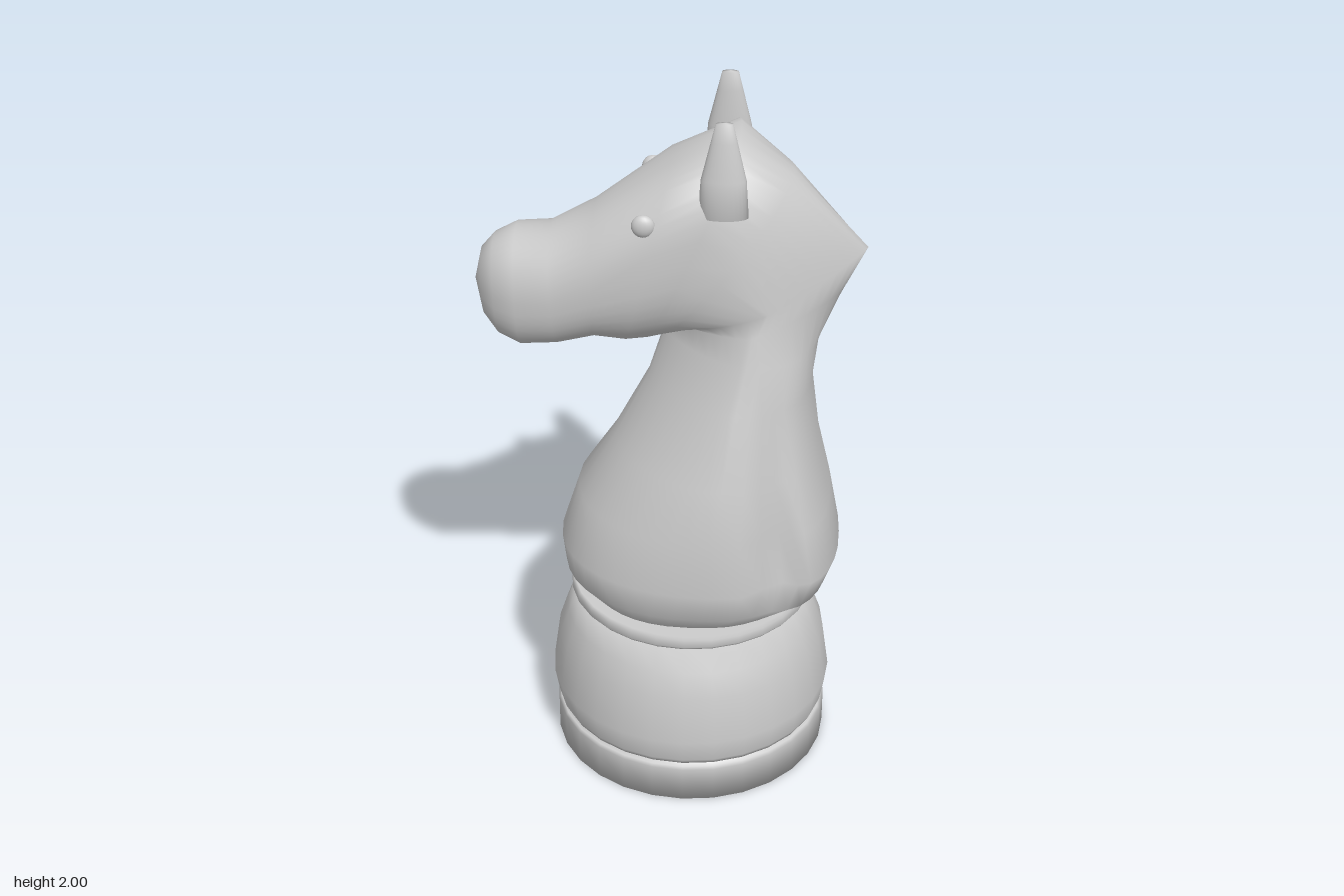
import * as THREE from 'three';

const { clamp, smoothstep } = THREE.MathUtils;
const material = new THREE.MeshStandardMaterial({ color: 0xcccccc });
const AXIS_X = 0.058;

function part(name, geometry, x = 0, y = 0, z = 0) {
  const mesh = new THREE.Mesh(geometry, material);
  mesh.name = name;
  mesh.position.set(x, y, z);
  return mesh;
}

// Level neck sections: height, throat x, back x, half width
const NECK = [
  [0.53, -0.23, 0.35, 0.29],
  [0.60, -0.30, 0.45, 0.35],
  [0.68, -0.31, 0.478, 0.357],
  [0.84, -0.26, 0.447, 0.355],
  [1.00, -0.16, 0.41, 0.325],
  [1.20, -0.06, 0.385, 0.262],
  [1.33, -0.02, 0.40, 0.23],
];

// Head sections fanning from throat to nose: lower x, y; upper x, y; half width
const HEAD = [
  [-0.01, 1.37, 0.46, 1.455, 0.22],
  [-0.015, 1.365, 0.52, 1.58, 0.212],
  [-0.04, 1.34, 0.32, 1.80, 0.22],
  [-0.07, 1.325, 0.18, 1.91, 0.22],
  [-0.12, 1.325, 0.00, 1.835, 0.208],
  [-0.20, 1.335, -0.20, 1.70, 0.168],
  [-0.30, 1.305, -0.32, 1.635, 0.145],
  [-0.40, 1.295, -0.41, 1.63, 0.135],
  [-0.46, 1.32, -0.47, 1.60, 0.105],
  [-0.50, 1.37, -0.505, 1.56, 0.065],
  [-0.525, 1.47, -0.525, 1.47, 0],
];

// Ring between a lower and an upper point, with its own roundness at each end
// and an optional groove on both flanks
function ring(segments, { from, to, half, nFrom, nTo, shift, groove, z }) {
  const points = [];
  for (let j = 0; j < segments; j++) {
    const angle = (j / segments) * Math.PI * 2;
    const c = Math.cos(angle), s = Math.sin(angle);
    const power = 2 / (c > 0 ? nTo : nFrom);
    const t = (1 + Math.sign(c) * Math.abs(c) ** power) / 2 + shift * s * s;
    const dip = 1 - groove * Math.exp(-(((t - 0.79) / 0.08) ** 2));
    const w = Math.sign(s) * Math.abs(s) ** power * dip;
    points.push(from[0] + (to[0] - from[0]) * t, from[1] + (to[1] - from[1]) * t, z + half * w);
  }
  return points;
}

// One skin that climbs the neck, turns around the throat and runs out to the nose
function neckAndHeadGeometry(segments = 40) {
  const neckRings = NECK.map(([y, front, back, half]) => ring(segments, {
    from: [front, y], to: [back, y], half, z: 0,
    nFrom: 2.3 - 0.9 * smoothstep(y, 0.6, 1.33),
    nTo: 2.5 - 0.4 * smoothstep(y, 0.8, 1.33),
    shift: 0.05 * smoothstep(y, 0.5, 0.65),
    groove: 0.2 * smoothstep(y, 0.52, 0.7) * (1 - smoothstep(y, 0.8, 1.3)),
  }));
  const headRings = HEAD.map(([x0, y0, x1, y1, half], i) => ring(segments, {
    from: [x0, y0], to: [x1, y1], half, shift: 0, groove: 0,
    nFrom: Math.min(2.4, 1.4 + 0.5 * i),
    nTo: 2.1 + 0.7 * smoothstep(x1, -0.25, 0.1) - 1.6 * smoothstep(x1, 0.15, 0.5),
    z: clamp(0.008 - 0.08 * x1, -0.01, 0.02),
  }));
  const rings = [...neckRings, ...headRings];

  const indices = [];
  for (let i = 0; i < rings.length - 1; i++) {
    for (let j = 0; j < segments; j++) {
      const a = i * segments + j, b = i * segments + (j + 1) % segments;
      const c = a + segments, d = b + segments;
      indices.push(a, c, d, a, d, b);
    }
  }
  const geometry = new THREE.BufferGeometry();
  geometry.setAttribute('position', new THREE.Float32BufferAttribute(rings.flat(), 3));
  geometry.setIndex(indices);
  geometry.computeVertexNormals();
  return geometry;
}

function lathe(profile) {
  return new THREE.LatheGeometry(profile.map(([r, y]) => new THREE.Vector2(r, y)), 28);
}

// Flattened cone, narrowing to a small blunt tip that leans to one side
function earGeometry(side) {
  const profile = [[0, -0.13], [0.065, -0.12], [0.058, -0.02], [0.034, 0.08], [0.022, 0.13], [0, 0.133]];
  const geometry = lathe(profile);
  geometry.scale(1, 1, 0.5);
  geometry.rotateX(side * 0.05);
  return geometry;
}

export function createModel() {
  const group = new THREE.Group();
  group.name = 'chessKnight';

  // Turned pedestal: foot, bulge and collar
  group.add(part('foot', lathe([
    [0, 0], [0.395, 0], [0.395, 0.105], [0.388, 0.113], [0.375, 0.115], [0.375, 0.127], [0, 0.127],
  ]), AXIS_X));
  group.add(part('bulge', lathe([
    [0, 0.124], [0.385, 0.124], [0.393, 0.14], [0.405, 0.21], [0.385, 0.35],
    [0.36, 0.42], [0.325, 0.497], [0, 0.497],
  ]), AXIS_X));
  group.add(part('collar', lathe([
    [0, 0.493], [0.338, 0.493], [0.346, 0.503], [0.346, 0.527], [0.338, 0.534], [0, 0.534],
  ]), AXIS_X));

  group.add(part('neckAndHead', neckAndHeadGeometry()));

  // Eyes and ears, mirrored across the head
  for (const side of [1, -1]) {
    const name = side > 0 ? 'left' : 'right';
    const eyeGeometry = new THREE.SphereGeometry(0.031, 16, 12);
    eyeGeometry.scale(1, 1, 0.6);
    group.add(part(name + 'Eye', eyeGeometry, -0.06, 1.72, side * 0.183 + 0.008));
    group.add(part(name + 'Ear', earGeometry(-side), 0.143, 1.867, side * 0.176 - 0.004));
  }
  return group;
}
